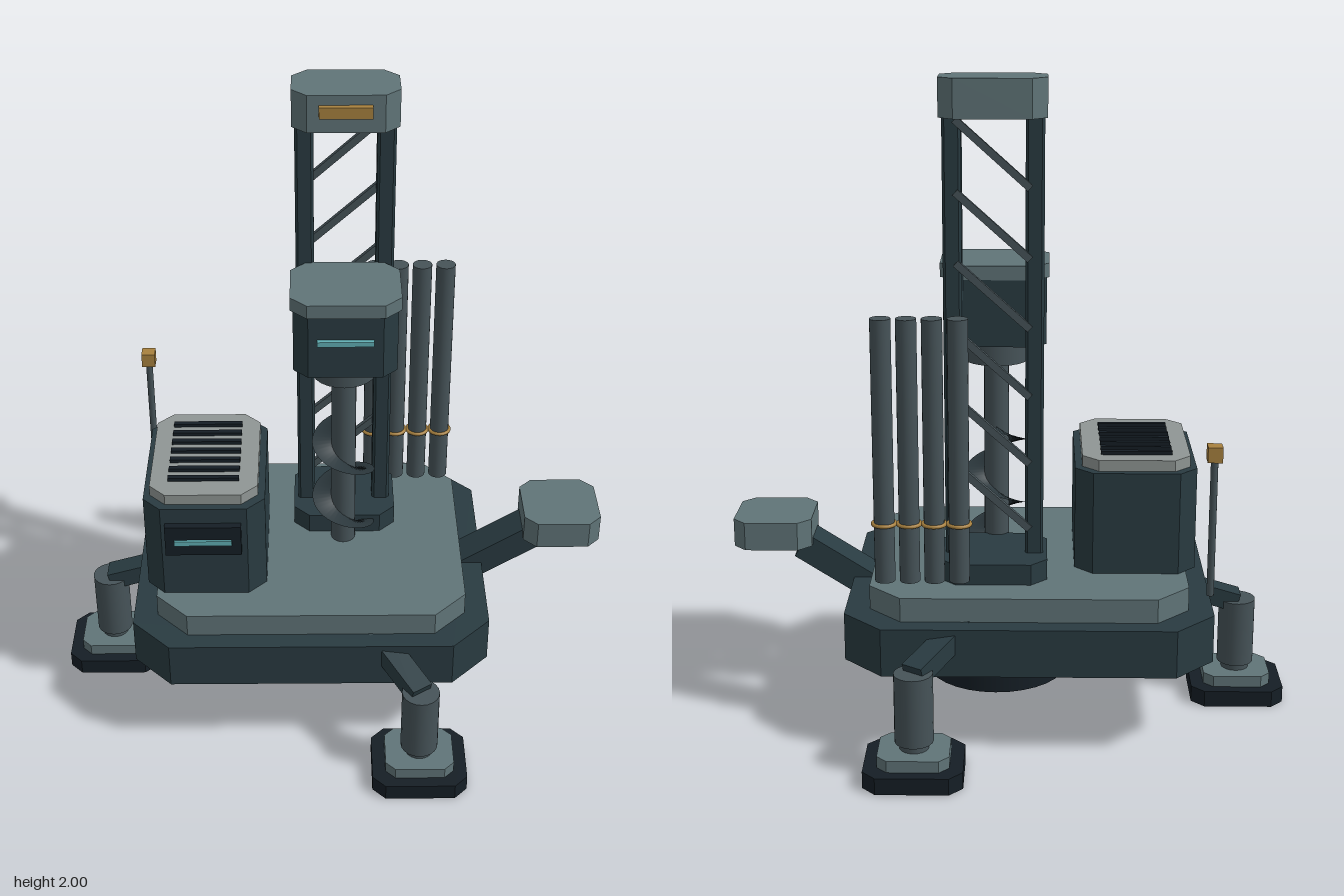
import * as THREE from 'three';
import { ParametricGeometry } from 'three/addons/geometries/ParametricGeometry.js';

const mat = (color, extra = {}) => new THREE.MeshStandardMaterial({ color, ...extra });

export function createModel() {
  const model = new THREE.Group();
  model.name = 'drillRig';
  const hull = mat(0x293b41), panel = mat(0x607478), dark = mat(0x151e25), steel = mat(0x465358);
  const gold = mat(0xa8813f), pale = mat(0x8f9694), glow = mat(0x62b0b5);

  const add = (name, geometry, material, parent = model) => {
    const mesh = new THREE.Mesh(geometry, material);
    mesh.name = name;
    parent.add(mesh);
    return mesh;
  };

  // Block with chamfered vertical corners, given by its extents
  const block = (name, material, [x0, x1], [y0, y1], [z0, z1], c, parent) => {
    const w = (x1 - x0) / 2, d = (z1 - z0) / 2;
    const shape = new THREE.Shape([
      [w - c, -d], [w, c - d], [w, d - c], [w - c, d],
      [c - w, d], [-w, d - c], [-w, c - d], [c - w, -d],
    ].map(([x, y]) => new THREE.Vector2(x, y)));
    const g = new THREE.ExtrudeGeometry(shape, { depth: y1 - y0, bevelEnabled: false });
    g.rotateX(-Math.PI / 2).translate((x0 + x1) / 2, y0, (z0 + z1) / 2);
    return add(name, g, material, parent);
  };

  const box = (name, material, [x0, x1], [y0, y1], [z0, z1]) => add(name,
    new THREE.BoxGeometry(x1 - x0, y1 - y0, z1 - z0)
      .translate((x0 + x1) / 2, (y0 + y1) / 2, (z0 + z1) / 2), material);

  const post = (name, material, x, z, [y0, y1], r, rTop = r, sides = 20, parent = model) => add(name,
    new THREE.CylinderGeometry(rTop, r, y1 - y0, sides).translate(x, (y0 + y1) / 2, z), material, parent);

  // Rectangular bar running between two points
  const bar = (name, material, a, b, width, height, parent = model) => {
    const from = new THREE.Vector3(...a), to = new THREE.Vector3(...b);
    const mesh = add(name, new THREE.BoxGeometry(width, height, from.distanceTo(to)), material, parent);
    mesh.position.copy(from).add(to).multiplyScalar(0.5);
    mesh.lookAt(to);
    return mesh;
  };

  // Chassis and deck
  block('chassis', hull, [-0.62, 0.5], [0.26, 0.41], [-0.47, 0.47], 0.12);
  block('deck', panel, [-0.545, 0.425], [0.41, 0.485], [-0.41, 0.41], 0.1);

  // Outrigger legs: foot position and the strut's root in the chassis
  const legs = [
    ['rightLeg', -0.73, 0, -0.5, 0],
    ['frontLeg', 0.275, 0.583, 0.14, 0.38],
    ['backLeg', 0.275, -0.583, 0.14, -0.38],
  ];
  for (const [name, x, z, rootX, rootZ] of legs) {
    const leg = new THREE.Group();
    leg.name = name;
    model.add(leg);
    block('footPad', dark, [x - 0.147, x + 0.147], [0, 0.052], [z - 0.126, z + 0.126], 0.04, leg);
    block('footPlate', panel, [x - 0.106, x + 0.106], [0.052, 0.088], [z - 0.09, z + 0.09], 0.03, leg);
    post('piston', steel, x, z, [0.088, 0.12], 0.044, 0.044, 20, leg);
    post('legCylinder', steel, x, z, [0.11, 0.325], 0.058, 0.058, 20, leg);
    bar('strut', hull, [rootX, 0.385, rootZ], [x, 0.318, z], 0.07, 0.06, leg);
  }

  // Ground drum under the chassis
  const DX = 0.045;
  post('groundDrum', dark, DX, 0, [0.092, 0.205], 0.225, 0.225, 32);
  post('drumRim', gold, DX, 0, [0.205, 0.235], 0.225, 0.215, 32);

  // Power unit with vented lid and front display
  block('powerUnit', hull, [-0.575, -0.2], [0.485, 0.81], [-0.2, 0.295], 0.055);
  block('powerLid', pale, [-0.555, -0.222], [0.81, 0.845], [-0.178, 0.27], 0.05);
  for (let i = 0; i < 7; i++) {
    const z = 0.038 + (i - 3) * 0.05;
    box('ventSlot', dark, [-0.5, -0.28], [0.84, 0.856], [z - 0.009, z + 0.009]);
  }
  box('displayPanel', dark, [-0.507, -0.273], [0.652, 0.757], [0.29, 0.318]);
  box('displayLight', glow, [-0.478, -0.302], [0.693, 0.71], [0.31, 0.326]);

  // Lattice mast
  block('mastFoot', hull, [-0.115, 0.215], [0.485, 0.55], [-0.3, -0.02], 0.05);
  for (const side of [-1, 1]) {
    const x = 0.048 + side * 0.122;
    block('mastRail', hull, [x - 0.028, x + 0.028], [0.54, 1.89], [-0.198, -0.118], 0.008);
  }
  for (let i = 0; i < 6; i++) {
    const y = 0.64 + i * 0.21;
    bar('mastBrace', steel, [-0.06, y - 0.01, -0.195], [0.16, y + 0.188, -0.195], 0.018, 0.022);
  }
  block('mastHead', panel, [-0.11, 0.207], [1.885, 2], [-0.257, -0.062], 0.045);
  box('headPlate', gold, [-0.03, 0.125], [1.935, 1.97], [-0.07, -0.042]);

  // Drive head, chuck and drill rod
  block('driveHead', hull, [-0.11, 0.205], [1.185, 1.392], [-0.12, 0.143], 0.045);
  block('driveCap', panel, [-0.118, 0.214], [1.392, 1.435], [-0.122, 0.15], 0.05);
  box('driveLight', glow, [-0.038, 0.132], [1.3, 1.316], [0.135, 0.158]);
  post('chuck', steel, DX, 0, [1.12, 1.185], 0.1, 0.1, 24);
  post('drillRod', steel, DX, 0, [0.485, 1.13], 0.039);

  // Auger flight: a ribbon winding up round the rod
  const flight = new ParametricGeometry((u, v, p) => {
    const a = -Math.PI / 2 + u * Math.PI * 4, r = 0.03 + 0.07 * v;
    p.set(DX + r * Math.cos(a), 0.49 + 0.42 * u, r * Math.sin(a));
  }, 72, 1);
  add('augerFlight', flight, mat(0x2b373c, { side: THREE.DoubleSide }));

  // Spare rods, each with a retaining ring
  for (let i = 0; i < 4; i++) {
    const x = 0.15 + i * 0.075;
    post('spareRod', steel, x, -0.32, [0.508, 1.32], 0.031);
    add('rodRing', new THREE.TorusGeometry(0.034, 0.006, 8, 24).rotateX(Math.PI / 2)
      .translate(x, 0.69, -0.32), gold);
  }

  // Operator seat on a sloping arm
  bar('seatArm', hull, [0.25, 0.25, 0], [0.665, 0.517, 0], 0.115, 0.085);
  block('seat', panel, [0.628, 0.873], [0.525, 0.615], [-0.123, 0.123], 0.04);

  // Beacon mast
  post('beaconPole', steel, -0.6, -0.387, [0.493, 0.915], 0.011, 0.011, 12);
  box('beacon', gold, [-0.622, -0.578], [0.913, 0.96], [-0.409, -0.365]);

  return model;
}
